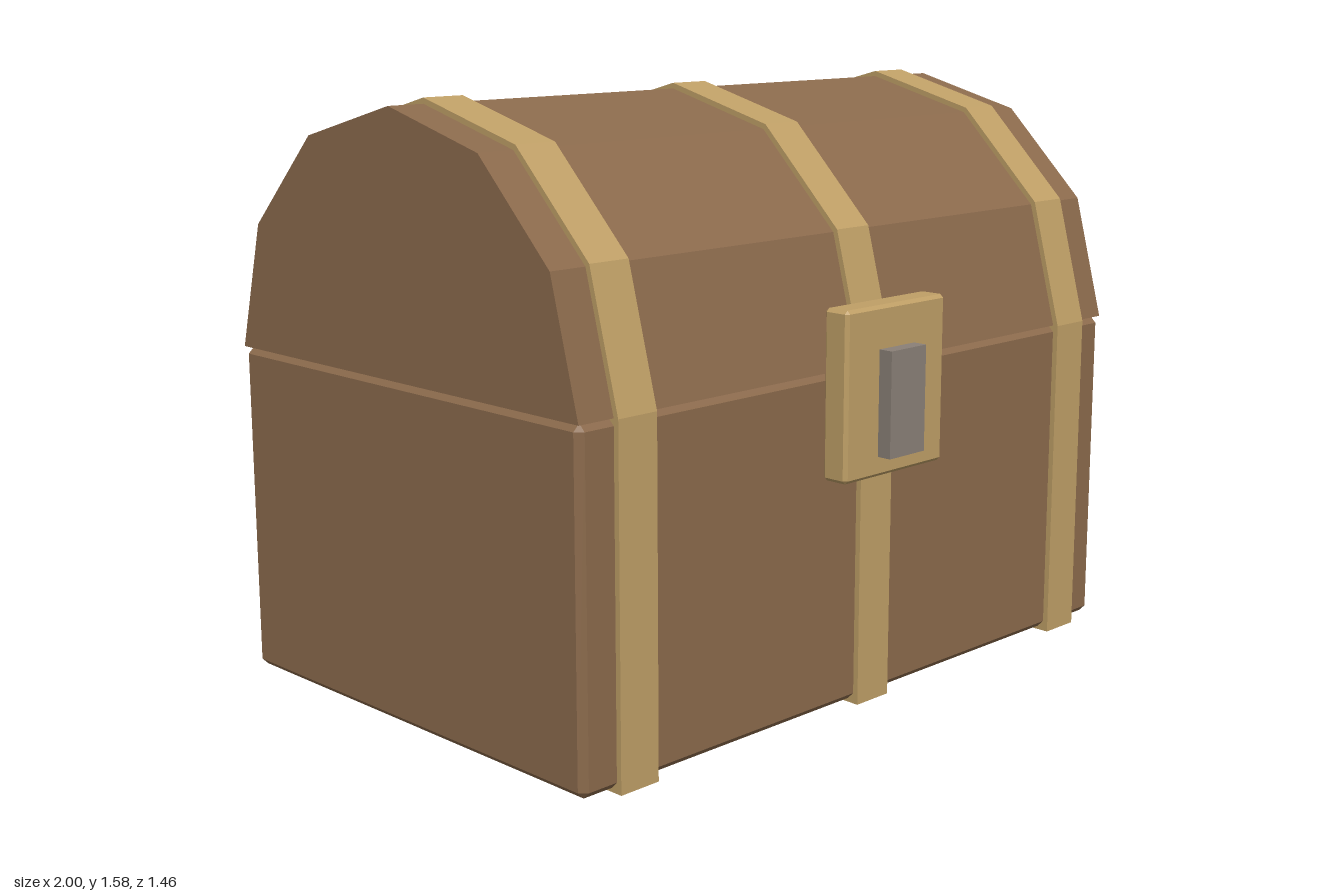
import * as THREE from 'three';
import { ConvexGeometry } from 'three/addons/geometries/ConvexGeometry.js';

const SEAM = 0.895; // height where lid meets body
const MID_Z = -0.05; // chest centre line

function material(name, color) {
  const m = new THREE.MeshStandardMaterial({ color, flatShading: true });
  m.name = name;
  return m;
}

// Box with flat chamfered edges, centred on its origin
function chamferBox(w, h, d, c) {
  const points = [];
  for (const x of [-w / 2, w / 2])
    for (const y of [-h / 2, h / 2])
      for (const z of [-d / 2, d / 2]) {
        const p = new THREE.Vector3(x, y, z);
        const inner = new THREE.Vector3(x - Math.sign(x) * c, y - Math.sign(y) * c, z - Math.sign(z) * c);
        points.push(
          new THREE.Vector3(p.x, inner.y, inner.z),
          new THREE.Vector3(inner.x, p.y, inner.z),
          new THREE.Vector3(inner.x, inner.y, p.z)
        );
      }
  return new ConvexGeometry(points);
}

// Six-sided arch across the chest, optionally with straight legs down to `bottom`
function archGeometry(radius, bottom, width) {
  const shape = new THREE.Shape();
  if (bottom < SEAM) {
    shape.moveTo(-radius, bottom);
    shape.lineTo(radius, bottom);
    shape.lineTo(radius, SEAM);
  } else {
    shape.moveTo(radius, SEAM);
  }
  for (let i = 1; i <= 6; i++) {
    const a = (i * Math.PI) / 6;
    shape.lineTo(Math.cos(a) * radius, SEAM + Math.sin(a) * radius);
  }
  shape.closePath();
  const geometry = new THREE.ExtrudeGeometry(shape, { depth: width, bevelEnabled: false });
  geometry.translate(0, 0, -width / 2);
  geometry.rotateY(Math.PI / 2);
  return geometry;
}

export function createModel() {
  const chest = new THREE.Group();
  chest.name = 'chest';
  const wood = material('brown wood', 0x8b6a4c);
  const brass = material('pale brass', 0xbf9f66);
  const iron = material('grey iron', 0x8a8077);

  function add(name, geometry, mat, x, y, z) {
    const mesh = new THREE.Mesh(geometry, mat);
    mesh.name = name;
    mesh.position.set(x, y, z);
    chest.add(mesh);
  }

  // Wooden body and faceted lid
  add('body', chamferBox(2, SEAM - 0.01, 1.334, 0.018), wood, 0, (SEAM + 0.01) / 2, MID_Z);
  add('lid', archGeometry(0.667, SEAM, 2), wood, 0, 0, MID_Z);

  // Straps wrapping all the way round
  const strap = archGeometry(0.682, 0, 0.12);
  ['rightStrap', 'middleStrap', 'leftStrap'].forEach((name, i) =>
    add(name, strap, brass, (i - 1) * 0.835, 0, MID_Z)
  );

  // Lock plate and its raised centre
  add('lockPlate', chamferBox(0.38, 0.438, 0.077, 0.009), brass, 0, 0.842, 0.654);
  add('lockCentre', new THREE.BoxGeometry(0.134, 0.275, 0.06), iron, 0, 0.813, 0.702);

  return chest;
}
